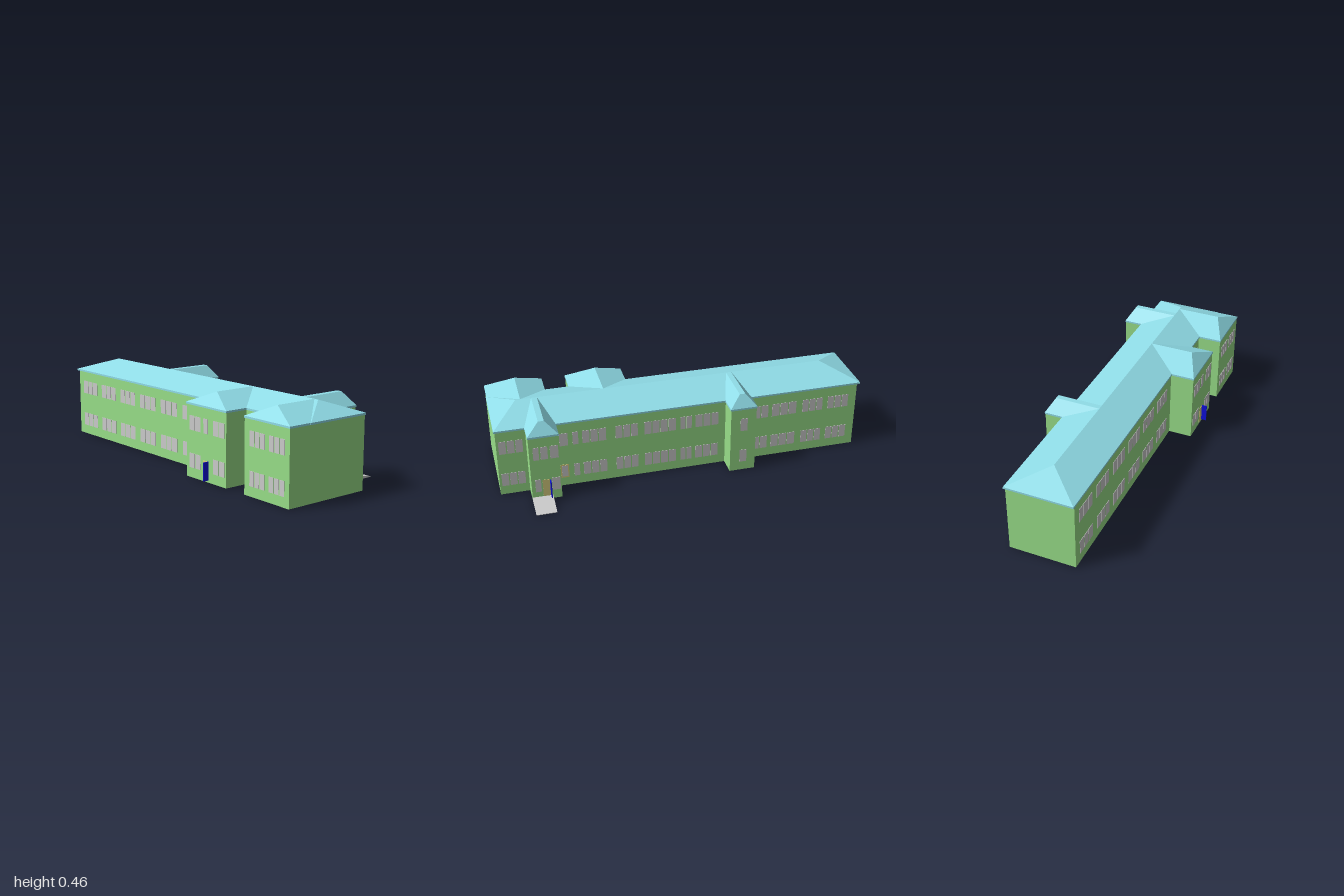
import * as THREE from 'three';

const mat = (color) => new THREE.MeshStandardMaterial({ color, flatShading: true });
const BASE = 0.003, EAVE = 0.38, LIP = 0.39, RIDGE = 0.455;

// Box given by its limits on each axis
function block(name, material, [x0, x1], [y0, y1], [z0, z1]) {
  const mesh = new THREE.Mesh(new THREE.BoxGeometry(x1 - x0, y1 - y0, z1 - z0), material);
  mesh.position.set((x0 + x1) / 2, (y0 + y1) / 2, (z0 + z1) / 2);
  mesh.name = name;
  return mesh;
}

// Hipped roof: eave rectangle, short upright lip, then slopes to a smaller top rectangle
function hipRoof(name, material, eaveX, eaveZ, topX, topZ) {
  const pos = [], index = [];
  const ring = (x, y, z) => pos.push(x[0], y, z[1], x[1], y, z[1], x[1], y, z[0], x[0], y, z[0]);
  ring(eaveX, EAVE, eaveZ);
  ring(eaveX, LIP, eaveZ);
  ring(topX, RIDGE, topZ);
  for (let r = 0; r < 8; r += 4) {
    for (let i = 0; i < 4; i++) {
      const a = r + i, b = r + (i + 1) % 4;
      index.push(a, b, b + 4, a, b + 4, a + 4);
    }
  }
  index.push(8, 9, 10, 8, 10, 11, 0, 2, 1, 0, 3, 2);
  const indexed = new THREE.BufferGeometry();
  indexed.setAttribute('position', new THREE.Float32BufferAttribute(pos, 3));
  indexed.setIndex(index);
  const geometry = indexed.toNonIndexed();
  geometry.computeVertexNormals();
  const mesh = new THREE.Mesh(geometry, material);
  mesh.name = name;
  return mesh;
}

export function createModel() {
  const model = new THREE.Group();
  const green = mat(0x98de88), blue = mat(0x1010dd), sky = mat(0x90dde8);
  const grey = mat(0xcccccc), yellow = mat(0xd8d080), dark = mat(0x555555);
  const wallY = [BASE, EAVE];
  const L = -0.215, R = 0.146, WING = -0.345, TOWER = 0.246, MID = -0.036;

  // Long main block
  model.add(block('mainWalls', green, [L, R], wallY, [-0.983, 0.994]));
  model.add(hipRoof('mainRoof', sky, [-0.22, 0.148], [-1, 1], [MID, MID], [-0.825, 0.86]));

  // Wings on the -x side
  for (const [name, z0, z1, mid] of [['frontWing', 0.685, 0.994, 0.835], ['middleWing', 0.24, 0.55, 0.395]]) {
    model.add(block(name + 'Walls', green, [WING, L + 0.02], wallY, [z0, z1]));
    model.add(hipRoof(name + 'Roof', sky, [WING - 0.003, MID], [z0 - 0.003, z1 + 0.003], [-0.275, MID], [mid, mid]));
  }

  // Stair towers on the +x side
  for (const [name, z0, z1] of [['frontTower', 0.685, 0.84], ['rearTower', -0.37, -0.23]]) {
    const mid = (z0 + z1) / 2;
    model.add(block(name + 'Walls', green, [R - 0.02, TOWER], wallY, [z0, z1]));
    model.add(hipRoof(name + 'Roof', sky, [MID, TOWER + 0.003], [z0 - 0.003, z1 + 0.003],
      [MID, 0.21], [mid - 0.015, mid + 0.015]));
  }

  // Windows: groups of panes as [wall x, z start, z end, count, rows]
  const windows = new THREE.Group();
  windows.name = 'windows';
  const LOW = [0.055, 0.13], HIGH = [0.25, 0.325], both = [LOW, HIGH];
  const groups = [
    [R, 0.855, 0.985, 3, both],
    [R, 0.625, 0.67, 1, [HIGH]], [R, 0.57, 0.6, 1, both],
    [R, 0.42, 0.552, 3, both], [R, 0.25, 0.375, 3, both], [R, 0.043, 0.22, 4, both],
    [R, -0.045, 0.022, 2, both], [R, -0.193, -0.06, 3, both],
    [R, -0.476, -0.385, 2, both], [R, -0.637, -0.492, 3, both],
    [R, -0.79, -0.668, 3, both], [R, -0.94, -0.815, 3, both],
    [TOWER, 0.69, 0.733, 1, both], [TOWER, 0.745, 0.782, 1, [HIGH]], [TOWER, 0.79, 0.82, 1, both],
    [TOWER, -0.322, -0.283, 1, both],
    [L, 0.57, 0.665, 2, both],
    [WING, 0.26, 0.355, 2, both], [WING, 0.375, 0.41, 1, [HIGH]], [WING, 0.45, 0.54, 2, both],
    [WING, 0.72, 0.83, 3, both], [WING, 0.855, 0.965, 3, both],
  ];
  for (let i = 0; i < 6; i++) groups.push([L, -0.94 + i * 0.195, -0.79 + i * 0.195, 3, both]);
  for (const [x, z0, z1, n, rows] of groups) {
    const pitch = (z1 - z0) / n, gap = n > 1 ? 0.003 : 0;
    for (const row of rows) {
      for (let i = 0; i < n; i++) {
        const z = z0 + i * pitch;
        windows.add(block('windowPane', grey, [x - 0.002, x + 0.002], row, [z + gap, z + pitch - gap]));
      }
    }
  }
  model.add(windows);

  // Framed side window beside the front tower
  model.add(block('sideWindowFrame', yellow, [R - 0.002, R + 0.002], [0.052, 0.133], [0.628, 0.672]));
  model.add(block('sideWindowPane', grey, [R - 0.002, R + 0.003], [0.06, 0.126], [0.634, 0.666]));

  // Doorways with their blue doors standing open
  model.add(block('towerDoorway', yellow, [TOWER - 0.002, TOWER + 0.002], [0.024, 0.125], [0.745, 0.782]));
  model.add(block('towerDoor', blue, [TOWER, 0.277], [0.024, 0.121], [0.739, 0.744]));
  model.add(block('wingDoorway', yellow, [WING - 0.002, WING + 0.002], [0.014, 0.111], [0.372, 0.408]));
  model.add(block('wingDoor', blue, [-0.376, WING], [0.014, 0.111], [0.409, 0.413]));

  // Entrance ramp
  const profile = new THREE.Shape([[0.24, 0], [0.374, 0], [0.374, 0.003], [0.29, 0.02], [0.24, 0.024]]
    .map(([x, y]) => new THREE.Vector2(x, y)));
  const ramp = new THREE.Mesh(new THREE.ExtrudeGeometry(profile, { depth: 0.107, bevelEnabled: false }), grey);
  ramp.position.z = 0.733;
  ramp.name = 'entranceRamp';
  model.add(ramp);

  // Thin slabs under the floor
  for (let i = 0; i < 3; i++) {
    const x = -0.325 + i * 0.105;
    model.add(block('floorSlab', dark, [x, x + 0.1], [0, BASE + 0.001], [0.735, 0.84]));
  }
  return model;
}
